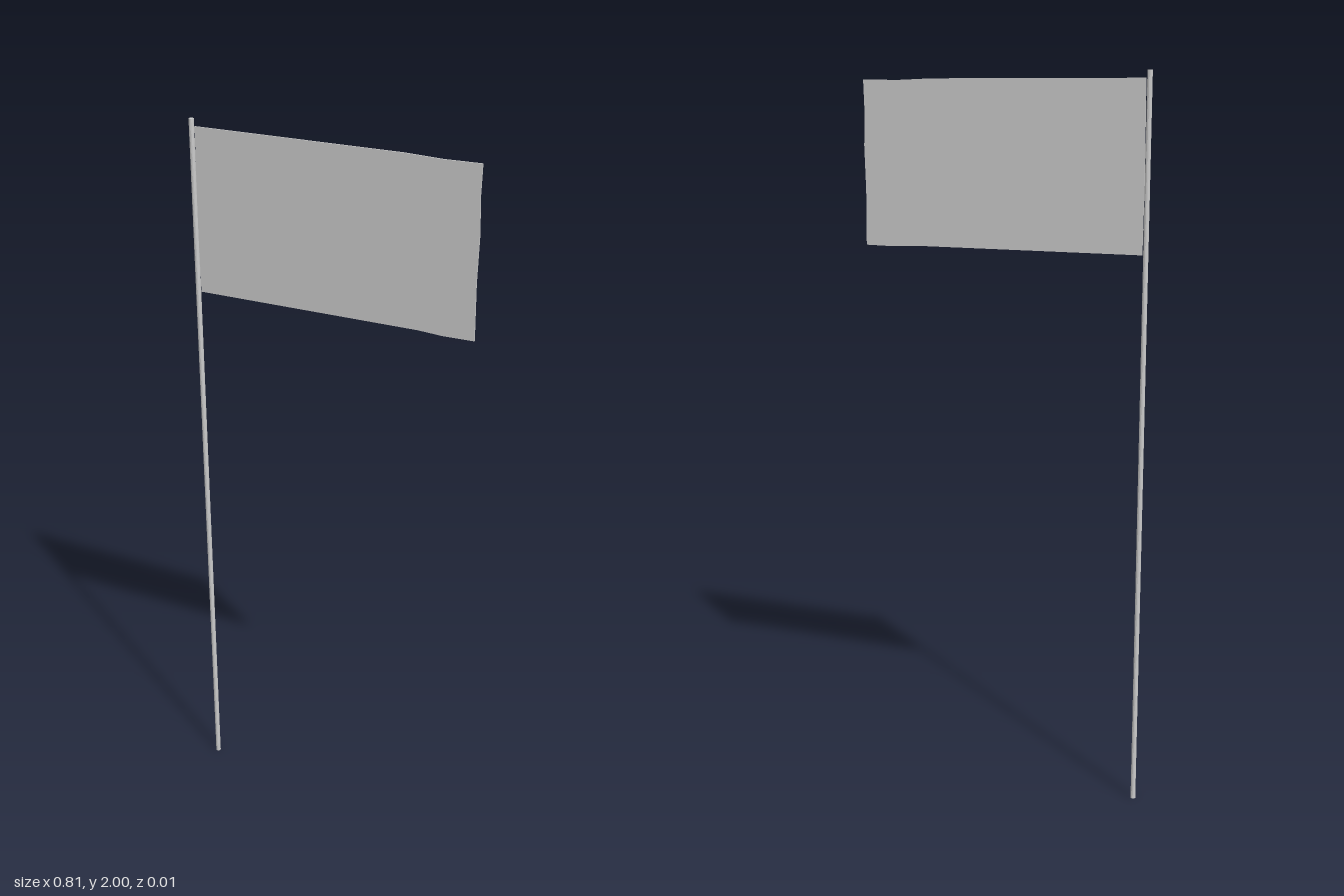
import * as THREE from 'three';

export function createModel() {
  const model = new THREE.Group();
  const material = new THREE.MeshStandardMaterial({ color: 0xcccccc, flatShading: true });

  // Slim upright pole
  const height = 2, radius = 0.007, poleX = -0.398;
  const pole = new THREE.Mesh(new THREE.CylinderGeometry(radius, radius, height, 12), material);
  pole.name = 'pole';
  pole.position.set(poleX, height / 2, 0);
  model.add(pole);

  // Thin cloth panel with slightly uneven edges
  const outline = [
    [-0.389, 1.535], [0.25, 1.534], [0.32, 1.53], [0.404, 1.531],
    [0.402, 1.68], [0.405, 1.8], [0.402, 1.9], [0.404, 1.976],
    [0.3, 1.975], [0.2, 1.979], [-0.389, 1.98], [-0.391, 1.72],
  ].map(([x, y]) => new THREE.Vector2(x, y));
  const thickness = 0.004;
  const flagGeometry = new THREE.ExtrudeGeometry(new THREE.Shape(outline), {
    depth: thickness,
    bevelEnabled: false,
  });
  const flag = new THREE.Mesh(flagGeometry, material);
  flag.name = 'flag';
  flag.position.z = -thickness;
  model.add(flag);

  return model;
}
